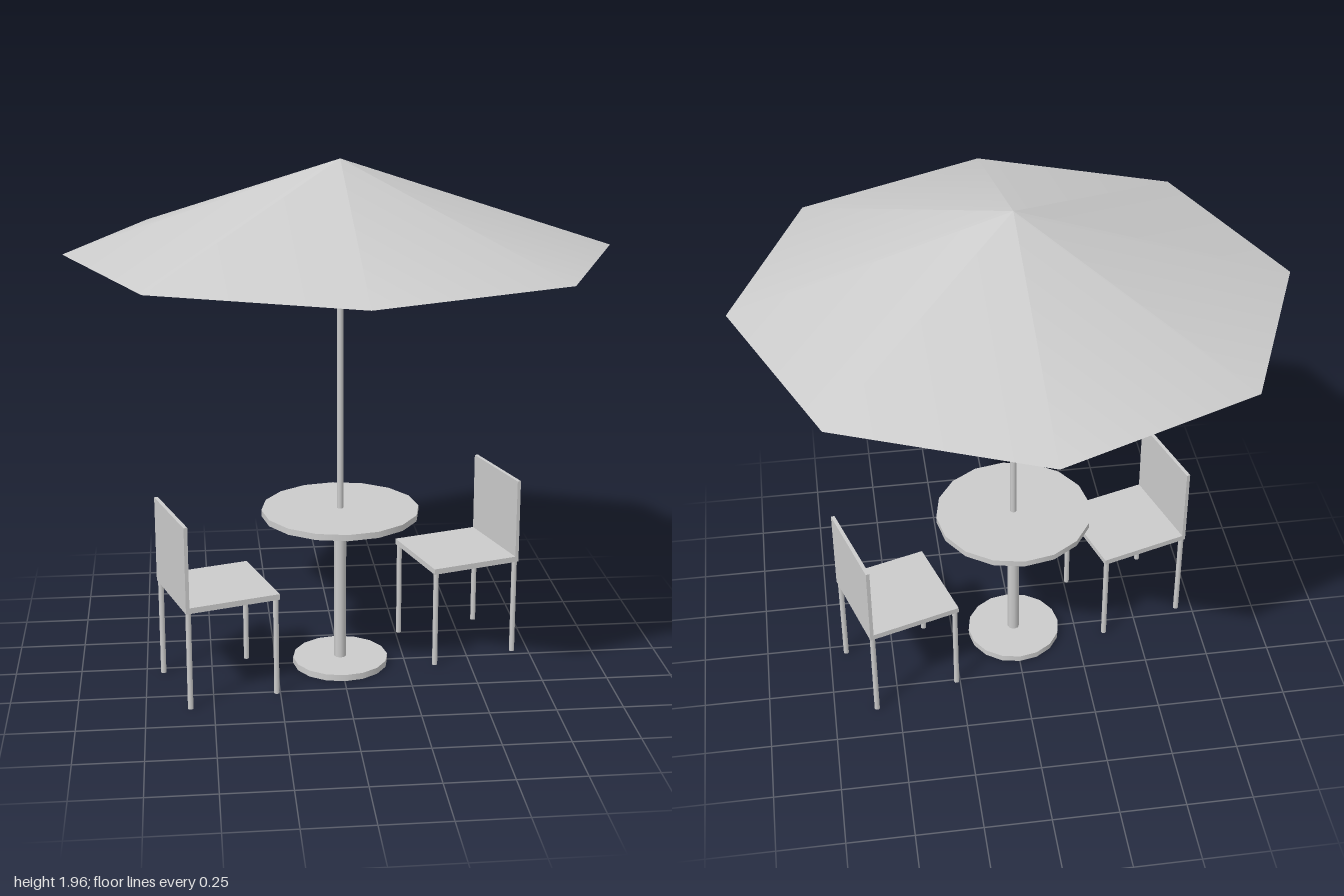
import * as THREE from 'three';

const material = new THREE.MeshStandardMaterial({ color: 0xcccccc });
const canopyMaterial = new THREE.MeshStandardMaterial({ color: 0xcccccc, side: THREE.DoubleSide });

function add(parent, name, geometry, x, y, z, mat = material) {
  const mesh = new THREE.Mesh(geometry, mat);
  mesh.name = name;
  mesh.position.set(x, y, z);
  parent.add(mesh);
  return mesh;
}

// Upright cylinder between two heights
function post(parent, name, radius, bottom, top, sides, x = 0, z = 0) {
  const geometry = new THREE.CylinderGeometry(radius, radius, top - bottom, sides);
  return add(parent, name, geometry, x, (bottom + top) / 2, z);
}

// Chair centred on its seat, with its back on the +x side
function makeChair(name) {
  const chair = new THREE.Group();
  chair.name = name;
  const size = 0.362, backThickness = 0.014, legOffset = 0.169;
  add(chair, 'seat', new THREE.BoxGeometry(size, 0.022, size), 0, 0.39, 0);
  add(chair, 'backrest', new THREE.BoxGeometry(backThickness, 0.33, size),
    (size - backThickness) / 2, 0.545, 0);
  for (const sx of [-1, 1]) {
    for (const sz of [-1, 1]) {
      post(chair, sx > 0 ? 'backLeg' : 'frontLeg', 0.0107, 0, 0.382, 8, sx * legOffset, sz * legOffset);
    }
  }
  return chair;
}

export function createModel() {
  const model = new THREE.Group();
  model.name = 'patioSet';

  // Table
  const table = new THREE.Group();
  table.name = 'table';
  post(table, 'base', 0.184, 0, 0.025, 16);
  post(table, 'column', 0.0235, 0.025, 0.612, 8);
  post(table, 'tabletop', 0.3, 0.612, 0.636, 16);
  model.add(table);

  // Parasol: thin pole and an eight-sided canopy open underneath
  const parasol = new THREE.Group();
  parasol.name = 'parasol';
  post(parasol, 'pole', 0.0125, 0.62, 1.935, 8);
  add(parasol, 'canopy', new THREE.ConeGeometry(1, 0.33, 8, 1, true), 0, 1.795, 0, canopyMaterial);
  model.add(parasol);

  // Two chairs facing the table from opposite sides
  const radius = 0.497, turn = 0.299;
  ['leftChair', 'rightChair'].forEach((name, i) => {
    const angle = turn + i * Math.PI;
    const chair = makeChair(name);
    chair.position.set(radius * Math.cos(angle), 0, -radius * Math.sin(angle));
    chair.rotation.y = angle;
    model.add(chair);
  });

  return model;
}
